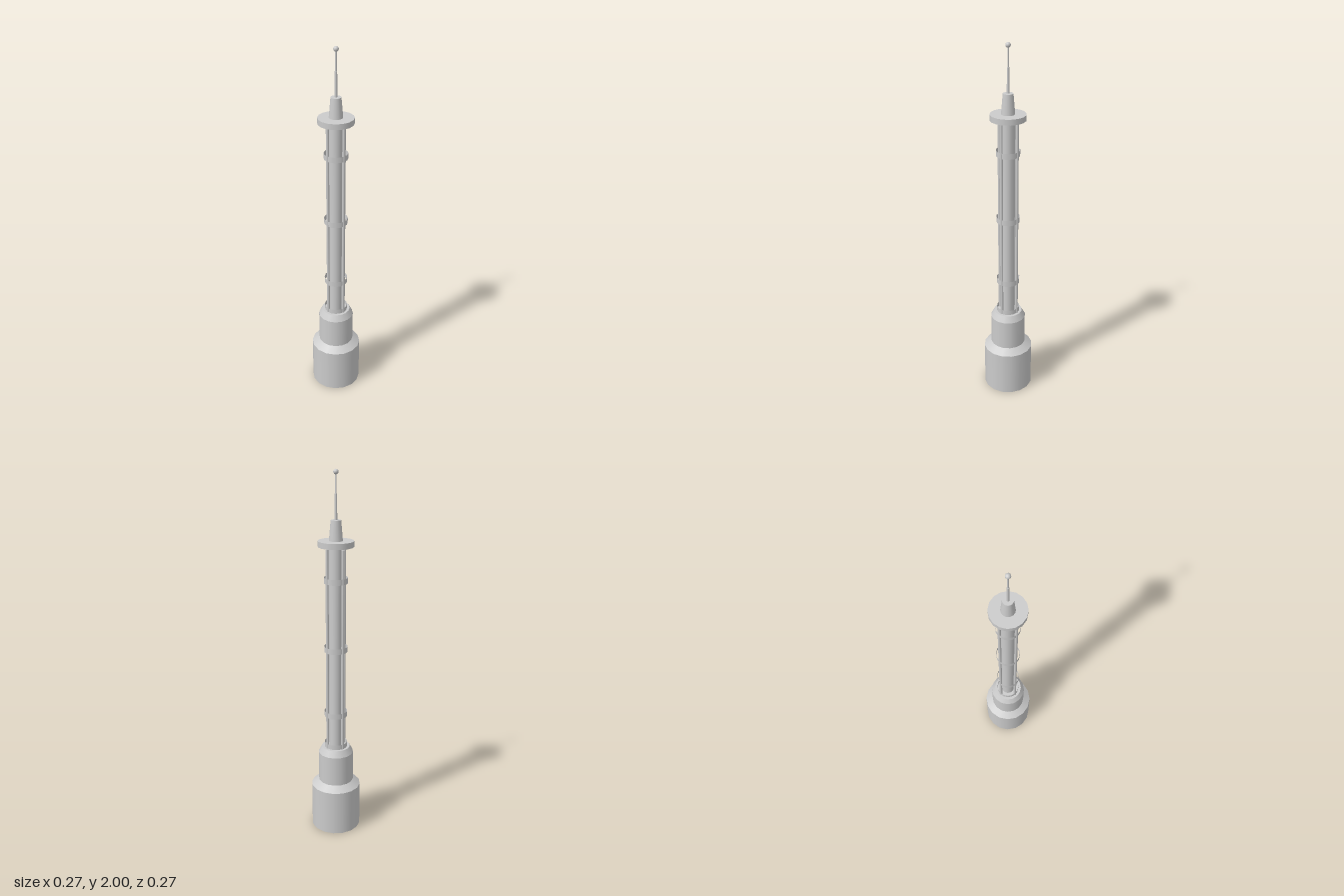
import * as THREE from 'three';

const material = new THREE.MeshStandardMaterial({ color: 0xcccccc });
const openMaterial = new THREE.MeshStandardMaterial({ color: 0xcccccc, side: THREE.DoubleSide });

export function createModel() {
  const model = new THREE.Group();

  // Upright cylinder or cone section between heights y0 and y1
  function section(name, r0, r1, y0, y1, { sides = 16, open = false, x = 0, z = 0 } = {}) {
    const geometry = new THREE.CylinderGeometry(r1, r0, y1 - y0, sides, 1, open);
    const mesh = new THREE.Mesh(geometry, open ? openMaterial : material);
    mesh.name = name;
    mesh.position.set(x, (y0 + y1) / 2, z);
    model.add(mesh);
  }

  // Hollow stepped base, open underneath
  const open = { open: true };
  section('baseWall', 0.137, 0.137, 0, 0.255, open);
  section('baseShoulder', 0.137, 0.097, 0.255, 0.285, open);
  section('upperBaseWall', 0.097, 0.097, 0.285, 0.455, open);
  section('upperBaseShoulder', 0.097, 0.078, 0.455, 0.49, open);
  const roof = new THREE.Mesh(new THREE.CircleGeometry(0.078, 16), openMaterial);
  roof.name = 'baseRoof';
  roof.rotation.x = -Math.PI / 2;
  roof.position.y = 0.49;
  model.add(roof);

  // Central shaft with four slim rods around it
  section('shaft', 0.036, 0.036, 0.49, 1.62);
  for (let i = 0; i < 4; i++) {
    const a = (i * Math.PI) / 2;
    section('rod', 0.008, 0.008, 0.49, 1.605, {
      sides: 8, x: 0.058 * Math.cos(a), z: 0.058 * Math.sin(a),
    });
  }

  // Thin open hoops tying the rods together
  for (const y of [0.502, 0.69, 1.065, 1.44]) {
    section('hoop', 0.063, 0.063, y - 0.015, y + 0.015, open);
  }

  // Platform, tapered cap and stepped mast
  section('platform', 0.094, 0.094, 1.615, 1.645);
  section('mastCone', 0.036, 0.027, 1.645, 1.75);
  section('lowerMast', 0.007, 0.006, 1.75, 1.88, { sides: 8 });
  section('upperMast', 0.004, 0.004, 1.88, 1.98, { sides: 8 });

  const ball = new THREE.Mesh(new THREE.SphereGeometry(0.0135, 16, 12), material);
  ball.name = 'mastBall';
  ball.position.y = 1.9865;
  model.add(ball);

  return model;
}
